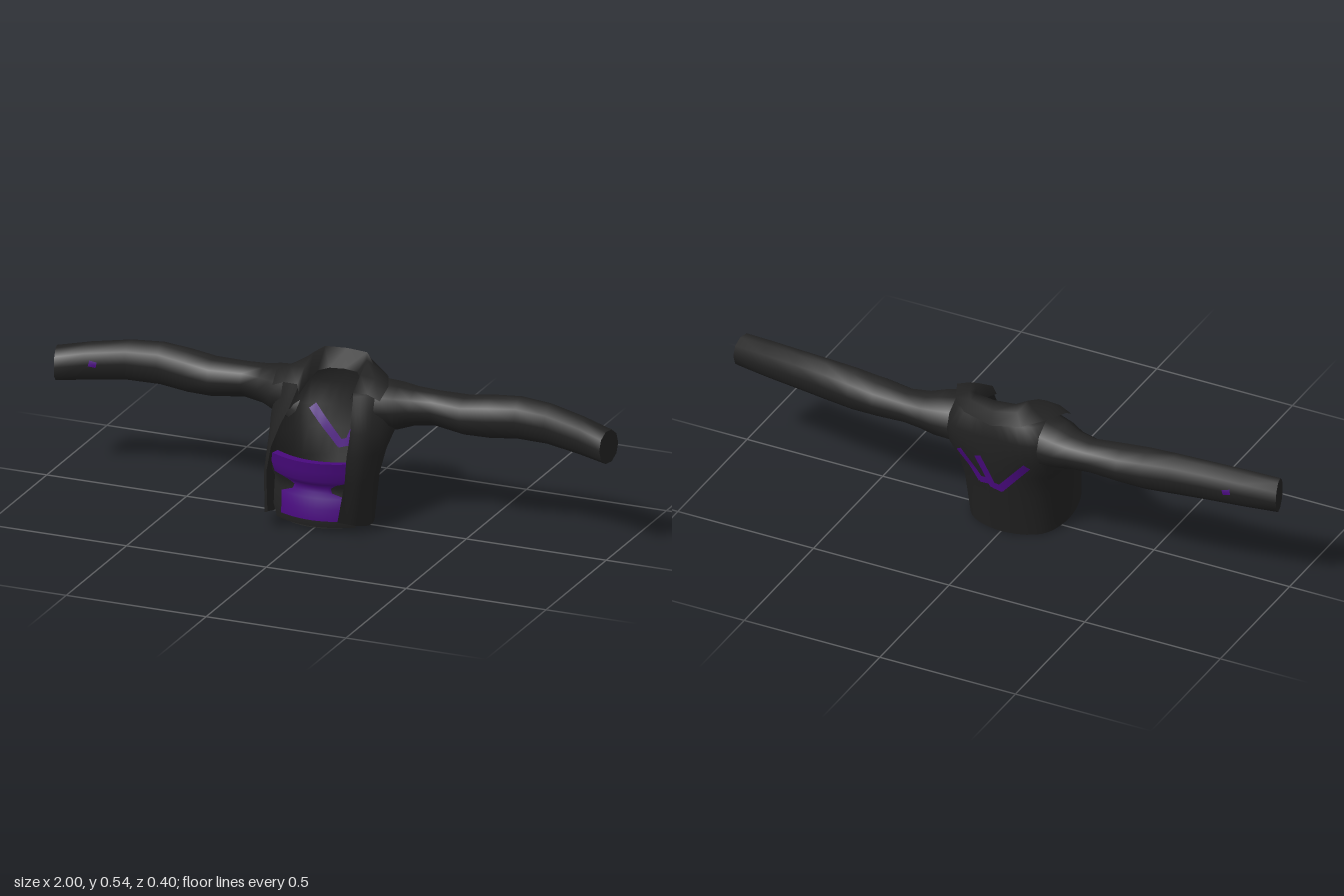
import * as THREE from 'three';

const fabric = new THREE.MeshStandardMaterial({ color: 0x222222, side: THREE.DoubleSide });
fabric.name = 'charcoal fabric';
const purple = new THREE.MeshStandardMaterial({ color: 0x4a0a80, side: THREE.DoubleSide });
purple.name = 'purple trim';

// Smooth surface through rows of [x, y, z] points
function loft(rows, closed = false) {
  const n = rows[0].length, pos = [], idx = [];
  rows.forEach(r => r.forEach(p => pos.push(...p)));
  for (let i = 0; i < rows.length - 1; i++) {
    for (let j = 0; j < (closed ? n : n - 1); j++) {
      const a = i * n + j, b = i * n + (j + 1) % n;
      idx.push(a, b, a + n, b, b + n, a + n);
    }
  }
  const g = new THREE.BufferGeometry();
  g.setAttribute('position', new THREE.Float32BufferAttribute(pos, 3));
  g.setIndex(idx);
  g.computeVertexNormals();
  return g;
}

function part(group, name, geometry, material) {
  const m = new THREE.Mesh(geometry, material);
  m.name = name;
  group.add(m);
  return m;
}

// Half outline ending on the centre line -> whole outline
const mirror = half => [...half, ...half.slice(0, -1).reverse().map(([x, y, z]) => [-x, y, z])];
const smooth = (pts, n) => new THREE.CatmullRomCurve3(pts.map(p => new THREE.Vector3(...p)))
  .getPoints(n).map(p => p.toArray());

// Each row: front edge, front, side, back corner, back centre
const torsoRows = [
  [[.125, .07, .2], [.165, .04, .13], [.172, .012, .03], [.13, .001, -.08], [0, 0, -.125]],
  [[.14, .2, .175], [.175, .18, .11], [.18, .17, 0], [.135, .16, -.11], [0, .16, -.165]],
  [[.135, .28, .148], [.175, .27, .08], [.195, .25, -.02], [.15, .25, -.13], [0, .25, -.182]],
  [[.125, .34, .095], [.175, .335, .04], [.215, .32, -.06], [.165, .32, -.165], [0, .32, -.197]],
  [[.11, .39, .05], [.165, .395, 0], [.215, .4, -.09], [.16, .4, -.18], [0, .4, -.2]],
  [[.1, .44, .01], [.15, .445, -.03], [.18, .465, -.1], [.13, .46, -.165], [0, .46, -.195]],
  [[.095, .45, 0], [.1, .46, -.04], [.1, .48, -.1], [.08, .485, -.15], [0, .49, -.175]],
];

// Each station from front tip to back: inner edge, fold, outer edge
const collarStations = [
  [[.09, .425, .02], [.1, .457, .012], [.15, .456, .008], [.192, .438, .005]],
  [[.085, .45, -.04], [.1, .498, -.05], [.15, .492, -.05], [.2, .472, -.05]],
  [[.075, .47, -.1], [.095, .527, -.115], [.115, .51, -.125], [.165, .477, -.13]],
  [[.05, .47, -.14], [.075, .535, -.163], [.085, .51, -.175], [.105, .468, -.188]],
  [[0, .47, -.15], [0, .535, -.174], [0, .5, -.188], [0, .45, -.2]],
];

// x, bottom, top, back z, front z
const sleeveRings = [
  [.165, .30, .475, -.193, 0], [.22, .31, .467, -.198, -.02], [.27, .325, .455, -.193, -.05],
  [.34, .333, .45, -.187, -.07], [.45, .322, .455, -.185, -.05], [.54, .322, .468, -.182, -.058],
  [.64, .332, .477, -.175, -.07], [.75, .335, .473, -.16, -.06], [.88, .327, .457, -.13, -.03],
  [1, .32, .438, -.1, 0],
];

function sleeve(side) {
  const rows = sleeveRings.map(([x, y0, y1, z0, z1]) => Array.from({ length: 10 }, (_, i) => {
    const a = i / 10 * Math.PI * 2, c = Math.cos(a);
    // cuff is cut square to the forearm
    const cut = x === 1 ? .0125 * (1 + c) : 0;
    return [side * (x - cut), (y0 + y1) / 2 + Math.sin(a) * (y1 - y0) / 2, (z0 + z1) / 2 + c * (z1 - z0) / 2];
  }));
  return { tube: loft(rows, true), end: rows.at(-1) };
}

// Strip of cloth bent around the belly; row: y, half width, centre z
function bellyStrip(rows, offset) {
  return loft(rows.map(([y, w, z]) => Array.from({ length: 13 }, (_, j) => {
    const x = w * (j / 6 - 1);
    return [x, y, z + offset - 2.2 * x * x];
  })));
}

export function createModel() {
  const model = new THREE.Group();
  model.name = 'jacket';

  // Open-fronted body
  const torso = part(model, 'jacketBody', loft(torsoRows.map(r => smooth(mirror(r), 40))), fabric);

  // Folded collar
  const half = collarStations;
  const flip = half.slice(0, -1).reverse().map(s => s.map(([x, y, z]) => [-x, y, z]));
  part(model, 'collar', loft([...half, ...flip]), fabric);

  // Sleeves and closed cuffs
  const sleeves = [];
  for (const [side, name] of [[1, 'left'], [-1, 'right']]) {
    const { tube, end } = sleeve(side);
    sleeves.push(part(model, name + 'Sleeve', tube, fabric));
    const centre = end.map(() => [side * .9875, .379, -.05]);
    part(model, name + 'CuffEnd', loft([end, centre], true), fabric);
  }

  // Undershirt front and base
  part(model, 'undershirtFront', bellyStrip([
    [.015, .14, .13], [.06, .15, .14], [.12, .155, .125], [.15, .155, .12], [.18, .155, .145], [.245, .145, .16],
  ], 0), fabric);
  part(model, 'undershirtTop', bellyStrip([[.245, .145, .16], [.24, .145, .115]], 0), purple);
  const base = part(model, 'undershirtBase', new THREE.CircleGeometry(1, 28), fabric);
  base.rotation.x = -Math.PI / 2 + .03;
  base.scale.set(.155, .122, 1);
  base.position.set(0, .014, .005);

  // Purple belly panel
  part(model, 'bellyPanel', bellyStrip([
    [.04, .115, .136], [.08, .112, .137], [.115, .118, .127], [.135, .07, .123], [.15, .065, .12],
    [.165, .085, .132], [.18, .14, .145], [.215, .15, .154], [.25, .142, .162],
  ], .004), purple);

  // Painted strokes follow the cloth beneath them
  const ray = new THREE.Raycaster();
  model.updateMatrixWorld(true);
  function surfaceZ(mesh, x, y, dir) {
    ray.set(new THREE.Vector3(x, y, -dir), new THREE.Vector3(0, 0, dir));
    return ray.intersectObject(mesh)[0]?.point.z ?? -.19;
  }
  function stroke(name, mesh, [x0, y0], [x1, y1], width, dir, offset) {
    const dx = x1 - x0, dy = y1 - y0, l = Math.hypot(dx, dy);
    const rows = Array.from({ length: 9 }, (_, i) => [-.5, 0, .5].map(s => {
      const t = i / 8, x = x0 + dx * t - s * width * dy / l, y = y0 + dy * t + s * width * dx / l;
      return [x, y, surfaceZ(mesh, x, y, dir) + offset];
    }));
    part(model, name, loft(rows), purple);
  }
  const marks = [
    [[.125, .32], [.05, .21]], [[.05, .32], [.005, .205]], [[-.125, .315], [-.02, .195]],
    [[.058, .213], [.012, .222]], [[.012, .21], [-.03, .197]],
  ];
  for (const [a, b] of marks) {
    stroke('backMark', torso, a, b, .026, 1, -.004);
    stroke('backMarkInside', torso, a, b, .026, 1, .004);
  }

  // Small spots on the right sleeve
  stroke('sleeveSpotFront', sleeves[1], [-.865, .4], [-.84, .395], .02, -1, .003);
  stroke('sleeveSpotBack', sleeves[1], [-.85, .4], [-.825, .395], .018, 1, -.003);
  return model;
}
